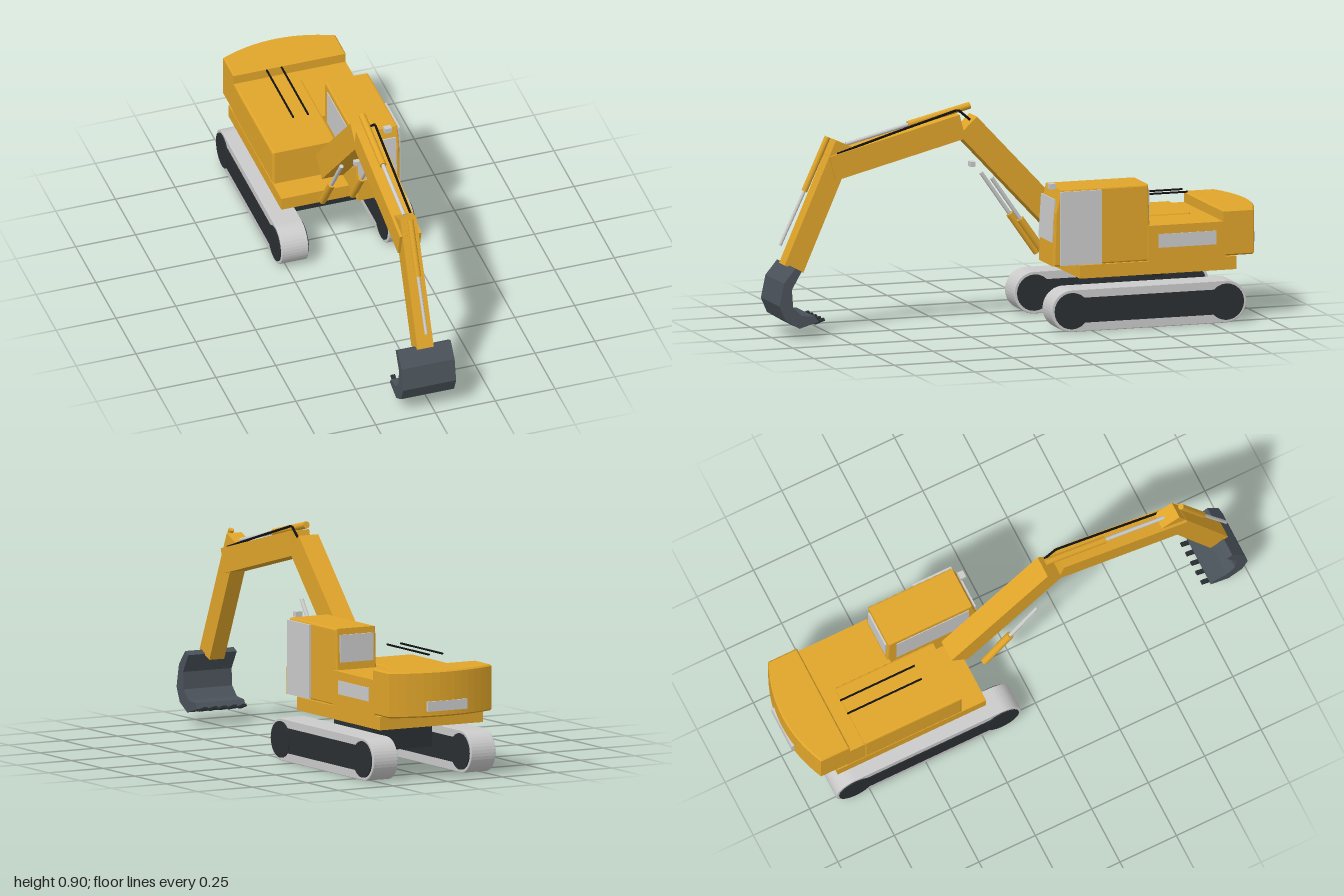
import * as THREE from 'three';

const mat = (color) => new THREE.MeshStandardMaterial({ color, flatShading: true });
const yellow = mat(0xe0a52a), dark = mat(0x2b2f33), steel = mat(0x4a525a), grey = mat(0xcccccc), black = mat(0x111111);

export function createModel() {
  const root = new THREE.Group();
  root.name = 'excavator';

  const add = (name, geometry, material) => {
    const mesh = new THREE.Mesh(geometry, material);
    mesh.name = name;
    root.add(mesh);
    return mesh;
  };
  // Box given by its limits on each axis
  const box = (name, material, [x0, x1], [y0, y1], [z0, z1]) => {
    const mesh = add(name, new THREE.BoxGeometry(x1 - x0, y1 - y0, z1 - z0), material);
    mesh.position.set((x0 + x1) / 2, (y0 + y1) / 2, (z0 + z1) / 2);
    return mesh;
  };
  // Side profile of [z, y] points extruded between x0 and x1, with an optional bevel
  const profile = (name, material, shape, x0, x1, bevel = 0) => {
    const g = new THREE.ExtrudeGeometry(shape, {
      depth: x1 - x0 - 2 * bevel, bevelEnabled: bevel > 0, bevelSize: bevel,
      bevelThickness: bevel, bevelOffset: -bevel, bevelSegments: 2, curveSegments: 10,
    });
    g.rotateY(-Math.PI / 2).translate(x1 - bevel, 0, 0);
    return add(name, g, material);
  };
  const poly = (points) => new THREE.Shape(points.map(([z, y]) => new THREE.Vector2(z, y)));
  const rect = (z0, z1, y0, y1) => poly([[z0, y0], [z1, y0], [z1, y1], [z0, y1]]);
  // Square beam along a line in the side plane, from a to b as [z, y]
  const beam = (name, material, x, width, height, a, b) => {
    const dz = b[0] - a[0], dy = b[1] - a[1];
    const mesh = add(name, new THREE.BoxGeometry(width, height, Math.hypot(dz, dy)), material);
    mesh.position.set(x, (a[1] + b[1]) / 2, (a[0] + b[0]) / 2);
    mesh.rotation.x = -Math.atan2(dy, dz);
    return mesh;
  };
  // Round bar along a line in the side plane
  const rod = (name, material, x, radius, a, b) => {
    const dz = b[0] - a[0], dy = b[1] - a[1];
    const mesh = add(name, new THREE.CylinderGeometry(radius, radius, Math.hypot(dz, dy), 16), material);
    mesh.position.set(x, (a[1] + b[1]) / 2, (a[0] + b[0]) / 2);
    mesh.rotation.x = Math.atan2(dz, dy);
    return mesh;
  };
  const ram = (name, x, r, base, mid, tip) => {
    rod(name + 'Barrel', yellow, x, r, base, mid);
    rod(name + 'Rod', grey, x, r * 0.55, mid, tip);
  };

  // Crawler tracks with wheels and side frames
  const frontZ = -0.163, backZ = -0.812, trackR = 0.085;
  for (const side of [-1, 1]) {
    const cx = side * 0.2235;
    const loop = new THREE.Shape();
    loop.absarc(frontZ, trackR, trackR, -Math.PI / 2, Math.PI / 2, false);
    loop.absarc(backZ, trackR, trackR, Math.PI / 2, Math.PI * 1.5, false);
    profile('trackBelt', grey, loop, cx - 0.056, cx + 0.056, 0.003);
    for (const z of [frontZ, backZ]) {
      const wheel = add('trackWheel', new THREE.CylinderGeometry(0.073, 0.073, 0.122, 24), dark);
      wheel.rotation.z = Math.PI / 2;
      wheel.position.set(cx, trackR, z);
    }
    box('trackFrame', dark, [cx - 0.059, cx + 0.059], [0.036, 0.136], [backZ, frontZ]);
  }

  // Undercarriage and slewing ring
  box('undercarriage', dark, [-0.138, 0.138], [0.085, 0.182], [-0.637, -0.337]);
  add('slewRing', new THREE.CylinderGeometry(0.177, 0.177, 0.026, 32), dark).position.set(0, 0.193, -0.485);

  // Upper deck, engine housing and hood
  box('deck', yellow, [-0.237, 0.235], [0.205, 0.258], [-0.87, -0.212]);
  profile('engineHousing', yellow, rect(-0.825, -0.5, 0.257, 0.4), -0.235, 0.235);
  profile('hood', yellow, rect(-0.75, -0.317, 0.257, 0.408), -0.237, 0.03, 0.008);
  box('sideVent', grey, [0.23, 0.238], [0.31, 0.365], [-0.785, -0.542]);
  for (const x of [-0.112, -0.05]) rod('hoodRail', black, x, 0.004, [-0.765, 0.475], [-0.435, 0.475]);

  // Counterweight with a curved rear
  const weight = new THREE.Shape();
  weight.moveTo(-0.235, 0.815);
  weight.lineTo(0.235, 0.815);
  weight.lineTo(0.235, 0.942);
  weight.quadraticCurveTo(0, 1.05, -0.235, 0.942);
  weight.closePath();
  const weightGeo = new THREE.ExtrudeGeometry(weight, {
    depth: 0.172, bevelThickness: 0.006, bevelSize: 0.006, bevelOffset: -0.006, bevelSegments: 1, curveSegments: 14,
  });
  add('counterweight', weightGeo.rotateX(-Math.PI / 2).translate(0, 0.267, 0), yellow);
  box('rearPlate', grey, [-0.09, 0.09], [0.285, 0.325], [-1.0, -0.98]);

  // Cab with windows, door and roof lamp
  profile('cab', yellow, poly([[-0.105, 0.257], [-0.112, 0.47], [-0.135, 0.565], [-0.505, 0.565], [-0.515, 0.257]]),
    0.043, 0.225, 0.007);
  beam('windscreen', grey, 0.13, 0.16, 0.006, [-0.106, 0.352], [-0.117, 0.525]);
  box('doorPanel', grey, [0.22, 0.234], [0.26, 0.557], [-0.305, -0.133]);
  box('innerWindow', grey, [0.04, 0.05], [0.39, 0.54], [-0.47, -0.15]);
  box('rearWindow', grey, [0.058, 0.21], [0.43, 0.54], [-0.513, -0.5]);
  box('roofLamp', grey, [0.16, 0.19], [0.563, 0.584], [-0.127, -0.103]);

  // Boom, upper boom and stick
  const armX = -0.024;
  beam('lowerBoom', yellow, armX, 0.09, 0.102, [-0.245, 0.355], [0.182, 0.808]);
  beam('upperBoom', yellow, armX, 0.09, 0.1, [0.205, 0.806], [0.75, 0.668]);
  beam('stick', yellow, armX, 0.068, 0.085, [0.695, 0.762], [0.91, 0.272]);
  box('boomLamp', grey, [armX - 0.03, armX], [0.633, 0.653], [0.135, 0.155]);

  // Hydraulic rams
  for (const x of [-0.087, 0.039]) ram('boomRam', x, 0.015, [-0.145, 0.262], [-0.03, 0.425], [0.09, 0.597]);
  ram('stickRam', armX, 0.014, [0.16, 0.882], [0.42, 0.82], [0.68, 0.757]);
  ram('bucketRam', armX, 0.012, [0.757, 0.79], [0.855, 0.577], [0.957, 0.365]);

  // Hydraulic hose beside the upper boom
  const hose = new THREE.CurvePath();
  const hosePts = [[0.73, 0.725], [0.47, 0.802], [0.22, 0.873], [0.17, 0.83]].map(([z, y]) => new THREE.Vector3(0.009, y, z));
  for (let i = 0; i < 3; i++) hose.add(new THREE.LineCurve3(hosePts[i], hosePts[i + 1]));
  add('hose', new THREE.TubeGeometry(hose, 40, 0.005, 8), black);

  // Curved bucket shell and its teeth
  profile('bucket', steel, poly([
    [0.93, 0.289], [0.979, 0.23], [0.998, 0.139], [0.973, 0.08], [0.914, 0.045], [0.834, 0.068],
    [0.848, 0.09], [0.904, 0.096], [0.941, 0.134], [0.946, 0.203], [0.905, 0.275],
  ]), -0.135, 0.087);
  for (let i = 0; i < 5; i++) beam('bucketTooth', dark, -0.113 + i * 0.0445, 0.017, 0.01, [0.845, 0.06], [0.803, 0.074]);

  return root;
}
